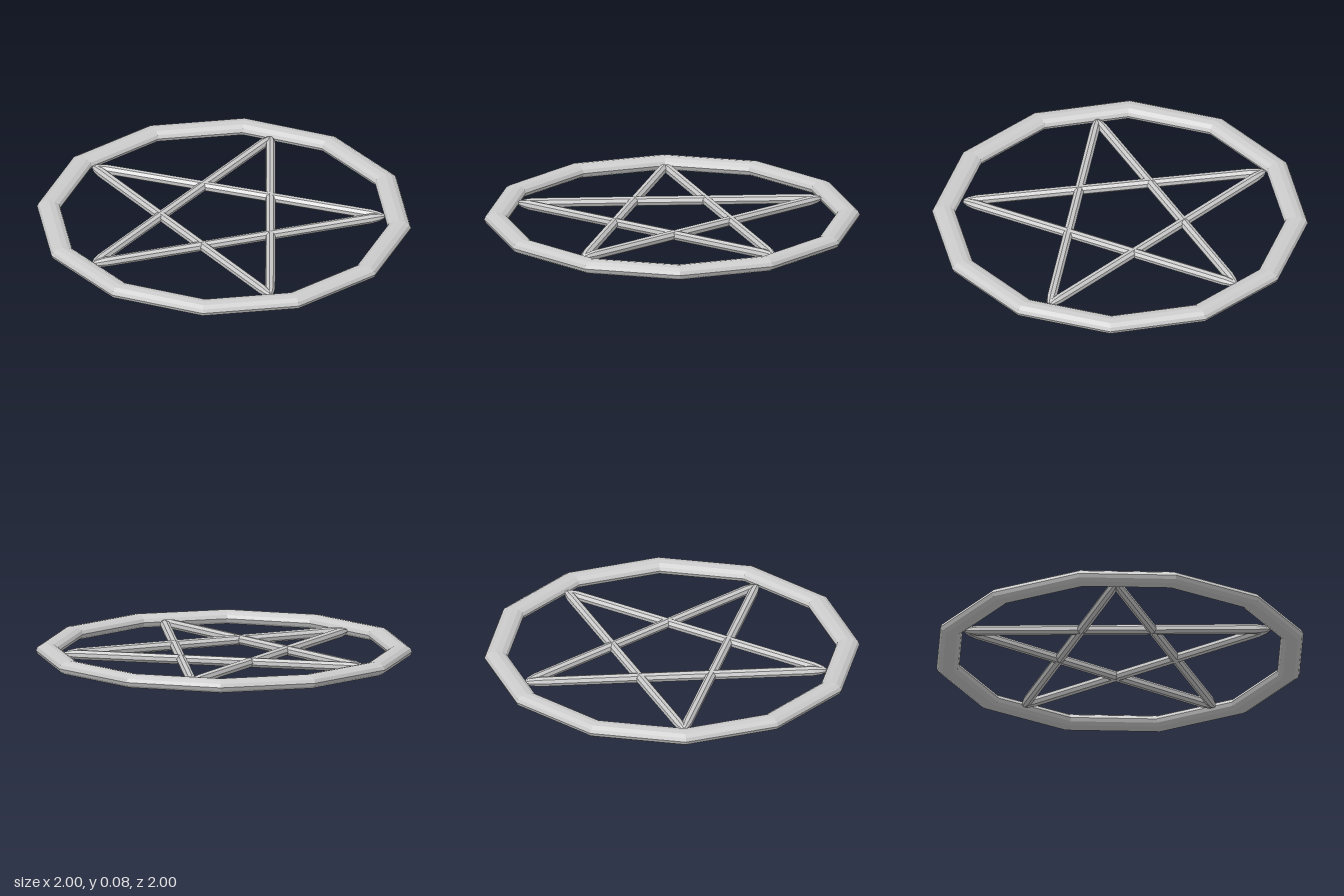
import * as THREE from 'three';

export function createModel() {
  const group = new THREE.Group();
  const material = new THREE.MeshStandardMaterial({ color: 0xcccccc, flatShading: true });
  const midY = 0.038;

  // Twelve-sided outer ring with a flattened round section
  const ringGeometry = new THREE.TorusGeometry(0.9375, 0.0625, 12, 12);
  ringGeometry.rotateX(Math.PI / 2);
  ringGeometry.scale(1, midY / 0.0625, 1);
  const ring = new THREE.Mesh(ringGeometry, material);
  ring.name = 'outerRing';
  ring.position.y = midY;
  group.add(ring);

  // Star tips, in order around the ring
  const tips = [[0, -0.86], [0.8, -0.283], [0.51, 0.68], [-0.5, 0.675], [-0.8, -0.272]]
    .map(([x, z]) => new THREE.Vector3(x, midY, z));

  // Thin round bar with tapered ends, along y
  function barGeometry(length) {
    const h = length / 2;
    const end = [[0.027, h - 0.07], [0.021, h - 0.025], [0.012, h], [0, h + 0.006]];
    const profile = [...end.map(([r, y]) => [r, -y]).reverse(), ...end];
    return new THREE.LatheGeometry(profile.map(([r, y]) => new THREE.Vector2(r, y)), 8);
  }

  // Five bars, each joining every second tip
  const star = new THREE.Group();
  star.name = 'star';
  const up = new THREE.Vector3(0, 1, 0);
  tips.forEach((a, i) => {
    const b = tips[(i + 2) % 5];
    const direction = b.clone().sub(a);
    const bar = new THREE.Mesh(barGeometry(direction.length()), material);
    bar.name = 'starBar' + (i + 1);
    bar.position.copy(a).add(b).multiplyScalar(0.5);
    bar.quaternion.setFromUnitVectors(up, direction.normalize());
    star.add(bar);
  });
  group.add(star);

  return group;
}
